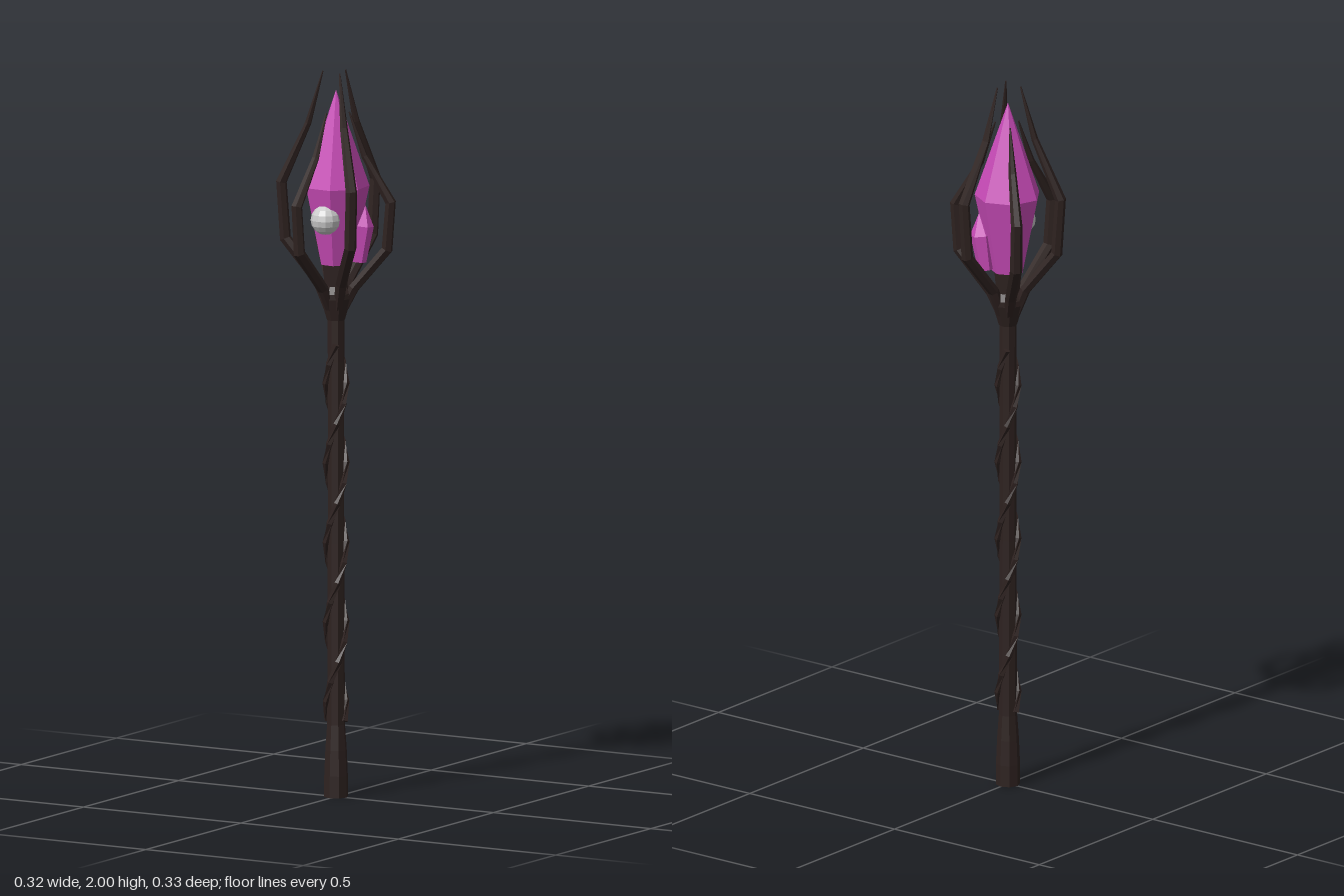
import * as THREE from 'three';

const wood = new THREE.MeshStandardMaterial({ color: 0x2e2220, flatShading: true });
const violet = new THREE.MeshStandardMaterial({ color: 0xc94bb8, flatShading: true });
const grey = new THREE.MeshStandardMaterial({ color: 0xcccccc, flatShading: true });

const add = (parent, name, geometry, material) => {
  const mesh = new THREE.Mesh(geometry, material);
  mesh.name = name;
  parent.add(mesh);
  return mesh;
};

// Faceted solid of revolution from [radius, height] pairs, bottom to top
const turned = (profile, sides) =>
  new THREE.LatheGeometry(profile.map(([r, y]) => new THREE.Vector2(r, y)), sides);

// Sweeps a polygon along points; sizes are [across, inPlane] half widths, side is the fixed across direction
function sweep(points, sizes, sides, sideAt) {
  const pos = [], index = [];
  points.forEach((p, i) => {
    const tangent = points[Math.min(i + 1, points.length - 1)].clone()
      .sub(points[Math.max(i - 1, 0)]).normalize();
    const across = sideAt(i).clone();
    across.addScaledVector(tangent, -across.dot(tangent)).normalize();
    const normal = new THREE.Vector3().crossVectors(tangent, across);
    for (let k = 0; k < sides; k++) {
      const a = (k / sides) * Math.PI * 2;
      const v = p.clone().addScaledVector(across, Math.cos(a) * sizes[i][0])
        .addScaledVector(normal, Math.sin(a) * sizes[i][1]);
      pos.push(v.x, v.y, v.z);
      if (i === 0) continue;
      const n = (k + 1) % sides, b = (i - 1) * sides, c = i * sides;
      index.push(b + k, b + n, c + n, b + k, c + n, c + k);
    }
  });
  // End caps
  const last = (points.length - 1) * sides;
  for (let k = 1; k < sides - 1; k++) {
    index.push(0, k + 1, k, last, last + k, last + k + 1);
  }
  const g = new THREE.BufferGeometry();
  g.setAttribute('position', new THREE.Float32BufferAttribute(pos, 3));
  g.setIndex(index);
  g.computeVertexNormals();
  return g;
}

// Claw centre line [radius, height, half width across, half thickness]
const tallClaw = [
  [0.022, 1.35, 0.014, 0.014], [0.05, 1.42, 0.016, 0.015], [0.142, 1.535, 0.017, 0.016],
  [0.153, 1.69, 0.016, 0.015], [0.078, 1.855, 0.011, 0.009], [0.037, 2.0, 0.002, 0.002],
];
const shortClaw = [
  [0.022, 1.35, 0.014, 0.014], [0.05, 1.405, 0.016, 0.015], [0.143, 1.515, 0.017, 0.016],
  [0.153, 1.645, 0.016, 0.015], [0.08, 1.77, 0.011, 0.009], [0.037, 1.89, 0.002, 0.002],
];

function claw(rows, angle) {
  const c = Math.cos(angle), s = Math.sin(angle);
  const side = new THREE.Vector3(-s, 0, c);
  return sweep(rows.map(([r, y]) => new THREE.Vector3(c * r, y, s * r)),
    rows.map((row) => [row[2], row[3]]), 6, () => side);
}

// Vine winding up the shaft
function vine(start) {
  const points = [], outward = [], sizes = [];
  const steps = 19, y0 = 0.21, y1 = 1.25, pitch = 0.445;
  for (let i = 0; i <= steps; i++) {
    const y = y0 + ((y1 - y0) * i) / steps;
    const a = start - ((y - y0) / pitch) * Math.PI * 2;
    outward.push(new THREE.Vector3(Math.cos(a), 0, Math.sin(a)));
    points.push(new THREE.Vector3(Math.cos(a) * 0.027, y, Math.sin(a) * 0.027));
    sizes.push([0.01, 0.01]);
  }
  return sweep(points, sizes, 5, (i) => outward[i]);
}

export function createModel() {
  const model = new THREE.Group();
  model.name = 'staff';

  // Shaft with flared foot
  add(model, 'shaft', turned([[0, 0], [0.033, 0], [0.033, 0.06], [0.03, 0.13], [0.025, 0.2],
    [0.023, 0.7], [0.023, 1.2], [0.024, 1.34], [0, 1.34]], 8), wood);
  for (let i = 0; i < 2; i++) add(model, 'vine', vine(i * Math.PI), wood);

  // Collar and crystal seat
  add(model, 'collar', turned([[0, 1.315], [0.025, 1.315], [0.043, 1.375], [0.043, 1.39],
    [0.032, 1.41], [0.038, 1.475], [0, 1.475]], 8), wood);

  // Six claws, alternating in height
  for (let i = 0; i < 6; i++) {
    const angle = THREE.MathUtils.degToRad(-17 + 60 * i);
    add(model, 'claw', claw(i % 2 ? tallClaw : shortClaw, angle), wood);
  }

  // Main crystal
  const crystal = add(model, 'crystal',
    turned([[0, 1.47], [0.045, 1.47], [0.091, 1.685], [0, 1.95]], 7), violet);
  crystal.rotation.y = THREE.MathUtils.degToRad(72);

  // Small shard leaning on the crystal
  const shard = add(model, 'shard',
    turned([[0, 0], [0.024, 0], [0.032, 0.1], [0, 0.16]], 6), violet);
  shard.position.set(0.047, 1.475, -0.035);
  shard.rotation.set(-0.08, 0, -0.1);

  // Orb at the front of the crystal
  const orb = add(model, 'orb', new THREE.SphereGeometry(0.041, 12, 8), grey);
  orb.position.set(0.005, 1.6, 0.063);

  return model;
}
